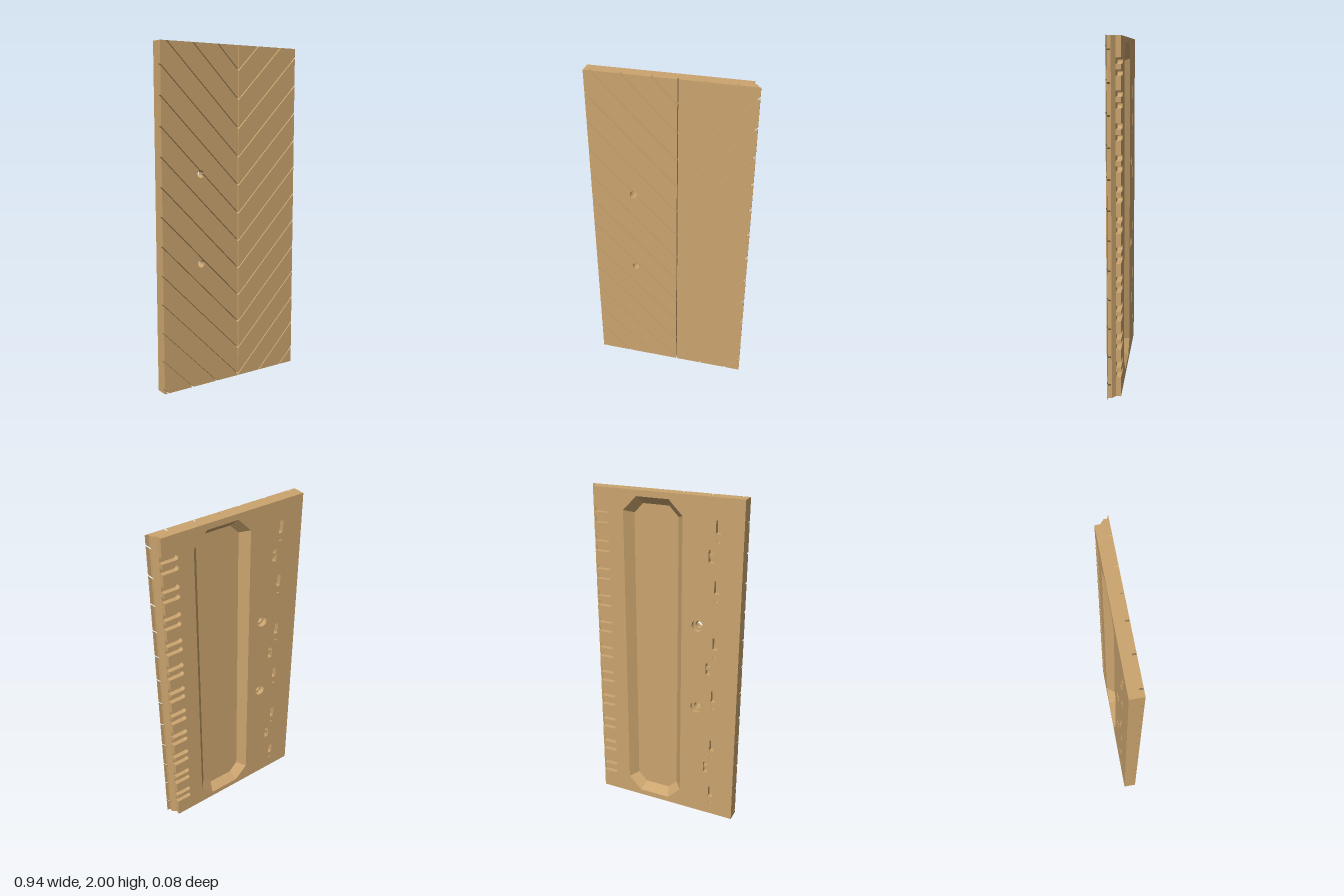
import * as THREE from 'three';

const PITCH = 0.168, GROOVE = 0.003, SPLIT = 0.045;
const LEFT = -0.473, BODY = 0.43, EDGE = 0.455, LIP = 0.472;
const Z = { back: -0.038, step: -0.01, floor: 0.012, groove: 0.016, lip: 0.033, front: 0.038 };
const BOLTS = [[-0.218, 0.74], [-0.218, 1.265]], BOLT_R = 0.022;

const V = (x, y) => new THREE.Vector2(x, y);
const rect = (x0, x1, y0, y1) => [V(x0, y0), V(x1, y0), V(x1, y1), V(x0, y1)];
const circle = (x, y, r) => Array.from({ length: 16 }, (_, i) =>
  V(x + r * Math.cos(i * Math.PI / 8), y + r * Math.sin(i * Math.PI / 8)));

// Octagon outline of the pocket, moved inwards by d
function octagon(d) {
  const x0 = -0.12 + d, x1 = 0.242 - d, y0 = 0.035 + d, y1 = 1.965 - d, c = 0.083 - 0.586 * d;
  return [V(x0 + c, y0), V(x1 - c, y0), V(x1, y0 + c), V(x1, y1 - c),
    V(x1 - c, y1), V(x0 + c, y1), V(x0, y1 - c), V(x0, y0 + c)];
}

// Flat slab between two depths
function slab(points, holes, z0, z1) {
  const shape = new THREE.Shape(points);
  shape.holes = holes.map(h => new THREE.Path(h));
  return new THREE.ExtrudeGeometry(shape, { depth: z1 - z0, bevelEnabled: false }).translate(0, 0, z0);
}

// Keep the side of a convex outline where a*x + b*y <= c
function clip(points, a, b, c) {
  const out = [];
  points.forEach((p, i) => {
    const q = points[(i + 1) % points.length];
    const dp = a * p.x + b * p.y - c, dq = a * q.x + b * q.y - c;
    if (dp <= 0) out.push(p);
    if (dp * dq < 0) out.push(p.clone().lerp(q, dp / (dp - dq)));
  });
  return out;
}

// Cut a bolt hole out of a plank: an arc where it crosses an edge, otherwise a full hole
function cutBolt(points, holes, [cx, cy]) {
  const centre = V(cx, cy), out = [];
  let crossed = false, inside = true;
  points.forEach((p, i) => {
    const q = points[(i + 1) % points.length], dir = q.clone().sub(p), len = dir.length();
    dir.divideScalar(len);
    const rel = centre.clone().sub(p), along = rel.dot(dir), off = dir.cross(rel);
    out.push(p);
    if (off < 0) inside = false;
    const half = Math.sqrt(Math.max(0, BOLT_R ** 2 - off ** 2));
    if (half > 0 && along - half > 0 && along + half < len) {
      crossed = true;
      const a = p.clone().addScaledVector(dir, along - half).sub(centre).angle();
      let b = p.clone().addScaledVector(dir, along + half).sub(centre).angle();
      if (b > a) b -= 2 * Math.PI;
      for (let k = 0; k <= 10; k++) {
        const t = a + (b - a) * k / 10;
        out.push(V(cx + BOLT_R * Math.cos(t), cy + BOLT_R * Math.sin(t)));
      }
    }
  });
  if (!crossed && inside) holes.push(circle(cx, cy, BOLT_R));
  return out;
}

export function createModel() {
  const group = new THREE.Group();
  const wood = new THREE.MeshStandardMaterial({ color: 0xcba56f });
  wood.name = 'tan wood';
  const add = (name, geometry) => {
    const mesh = new THREE.Mesh(geometry, wood);
    mesh.name = name;
    group.add(mesh);
  };

  // Chevron planks: slanted strips on both sides of the centre groove
  function planks(name, x0, x1, slope, first, z0) {
    const gap = GROOVE * Math.SQRT2;
    for (let k = -1; k < 16; k++) {
      const top = first - k * PITCH - gap, bottom = first - (k + 1) * PITCH + gap;
      let points = clip(rect(x0, x1, 0, 2), slope, 1, top);
      points = clip(points, -slope, -1, -bottom);
      if (points.length < 3) continue;
      const holes = [];
      for (const bolt of BOLTS) points = cutBolt(points, holes, bolt);
      add(name, slab(points, holes, z0, Z.front));
    }
  }
  planks('leftPlank', LEFT, SPLIT - 0.0035, 1, 1.903, Z.groove);
  planks('rightPlank', SPLIT + 0.0035, EDGE, -1, 1.81, Z.groove);
  planks('overhangingLip', EDGE, LIP, -1, 1.81, Z.lip);

  // Thin core: floor of the grooves and of the pocket
  const boltHoles = BOLTS.map(([x, y]) => circle(x, y, BOLT_R));
  add('core', slab(rect(LEFT, EDGE, 0, 2), boltHoles, Z.floor, Z.groove));
  add('middleLayer', slab(rect(LEFT, BODY, 0, 2), [octagon(0), ...boltHoles], Z.step, Z.floor));

  // Bevelled strip along the jointed edge
  const bevel = new THREE.Shape([V(BODY, -Z.step), V(BODY, -Z.floor), V(EDGE, -Z.floor)]);
  add('edgeBevel', new THREE.ExtrudeGeometry(bevel, { depth: 2, bevelEnabled: false }).rotateX(-Math.PI / 2));

  // Back layer: outline with pairs of round-ended slots along the jointed edge
  const outline = [V(LEFT, 0), V(BODY, 0)];
  for (let i = 0; i < 11; i++) {
    for (const dy of [-0.03, 0.03]) {
      const y = 0.163 + i * PITCH + dy, r = 0.016;
      outline.push(V(BODY, y - r));
      for (let k = 0; k <= 6; k++) {
        const t = -Math.PI / 2 - k * Math.PI / 6;
        outline.push(V(0.35 + r * Math.cos(t), y + r * Math.sin(t)));
      }
      outline.push(V(BODY, y + r));
    }
  }
  outline.push(V(BODY, 2), V(LEFT, 2));

  // Latch slots, each with a tiny slit below, and bolt recesses
  const holes = [octagon(0), ...BOLTS.map(([x, y]) => circle(x, y, 0.035))];
  const latch = (x, y) => holes.push(rect(x - 0.014, x + 0.014, y - 0.036, y + 0.036));
  for (let i = 0; i < 6; i++) {
    const y = 0.163 + i * 2 * PITCH;
    latch(-0.328, y);
    holes.push(rect(-0.338, -0.318, y - 0.085, y - 0.078));
  }
  for (let i = 0; i < 3; i++) {
    const y = 0.335 + i * 4 * PITCH;
    latch(-0.29, y);
    add('latchTab', new THREE.BoxGeometry(0.028, 0.02, 0.02).translate(-0.29, y, -0.018));
  }
  add('backLayer', slab(outline, holes, Z.back, Z.step));

  // Sloping walls of the pocket
  const outer = octagon(0), inner = octagon(0.045), pos = [];
  outer.forEach((o, i) => {
    const j = (i + 1) % 8;
    const a = [o.x, o.y, Z.back], b = [outer[j].x, outer[j].y, Z.back];
    const c = [inner[i].x, inner[i].y, Z.floor], d = [inner[j].x, inner[j].y, Z.floor];
    pos.push(...a, ...c, ...b, ...b, ...c, ...d);
  });
  const walls = new THREE.BufferGeometry();
  walls.setAttribute('position', new THREE.Float32BufferAttribute(pos, 3));
  walls.computeVertexNormals();
  add('pocketWalls', walls);

  return group;
}
